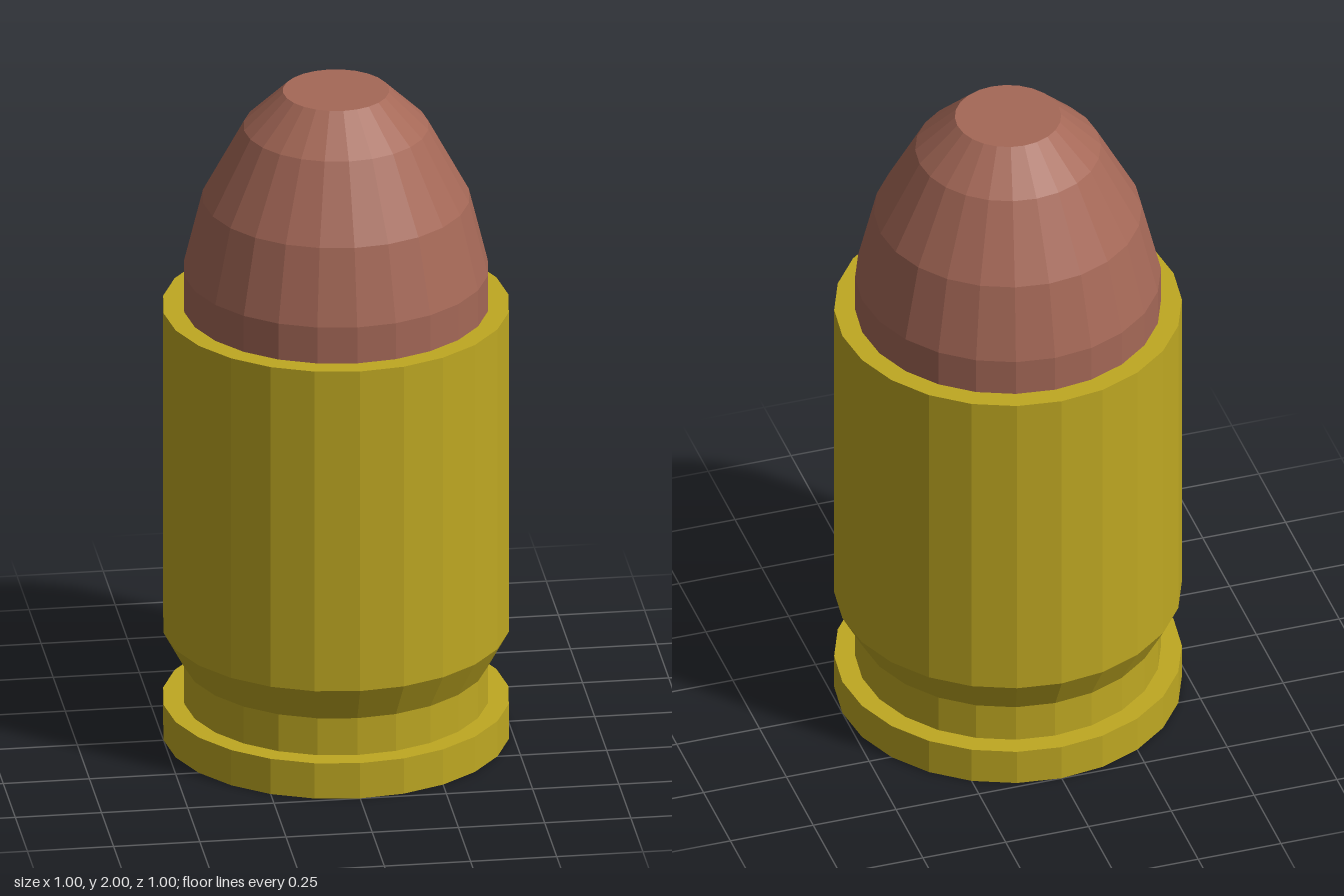
import * as THREE from 'three';

const SIDES = 24;

// Faceted solid of revolution from [radius, height] pairs, listed bottom to top
function turned(name, color, profile) {
  const points = profile.map(([r, y]) => new THREE.Vector2(r, y));
  const material = new THREE.MeshStandardMaterial({ color, flatShading: true });
  const mesh = new THREE.Mesh(new THREE.LatheGeometry(points, SIDES), material);
  mesh.name = name;
  return mesh;
}

export function createModel() {
  const group = new THREE.Group();
  group.name = 'cartridge';

  // Brass case: base rim, extractor groove, bevel, straight wall and mouth
  group.add(turned('case', 0xbfa822, [
    [0, 0], [0.5, 0], [0.5, 0.11],
    [0.44, 0.11], [0.44, 0.225],
    [0.5, 0.335], [0.5, 1.333], [0.44, 1.333],
  ]));

  // Copper bullet: short shank, rounded nose and flat tip
  group.add(turned('bullet', 0xa56857, [
    [0.44, 1.333], [0.44, 1.445], [0.385, 1.67],
    [0.267, 1.89], [0.153, 2], [0, 2],
  ]));

  return group;
}
